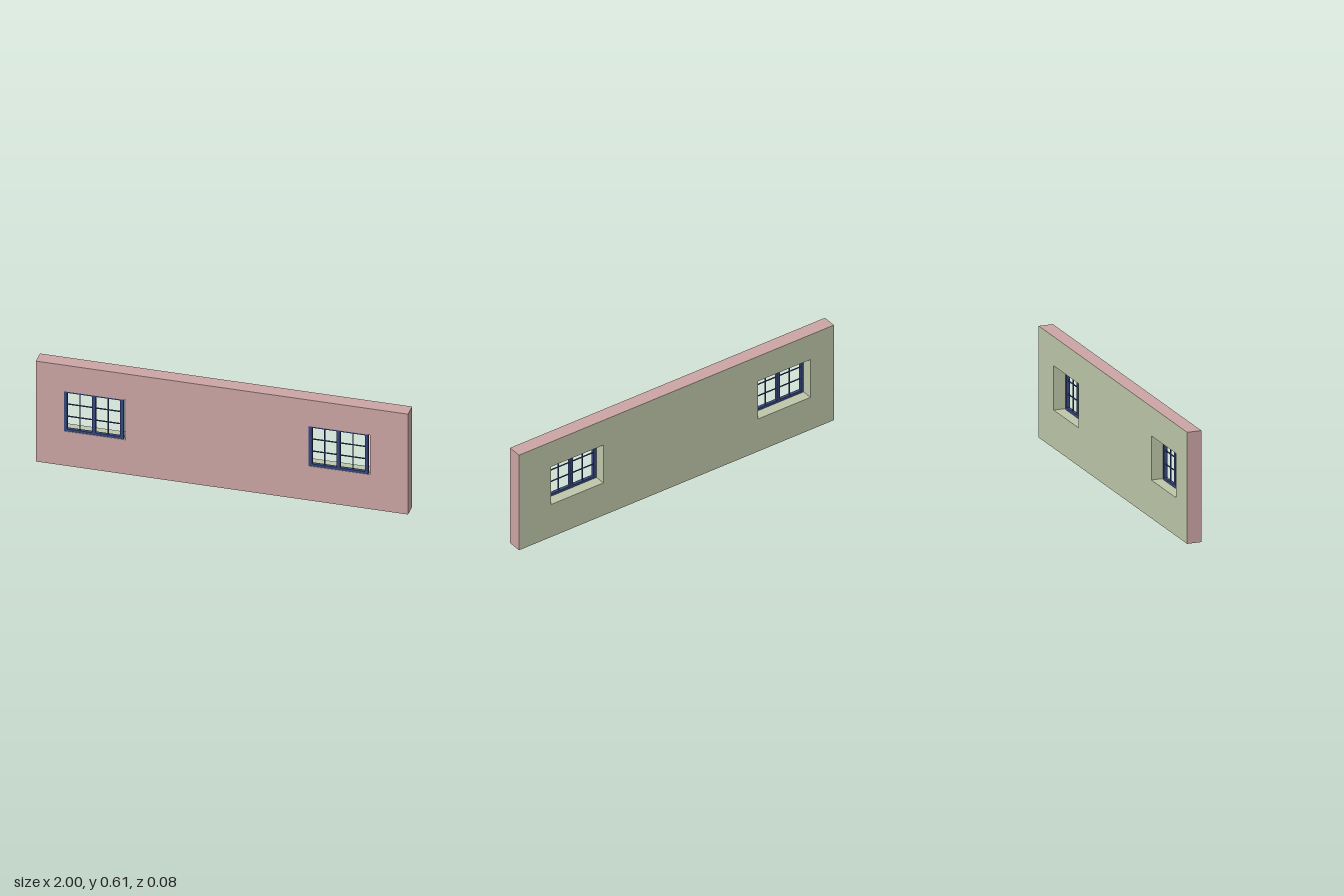
import * as THREE from 'three';

const W = 2, H = 0.605, D = 0.08;             // wall size
const OW = 0.332, Y0 = 0.207, Y1 = 0.447;     // window opening
const OH = Y1 - Y0, YC = (Y0 + Y1) / 2;

const paint = (name, color) => {
  const m = new THREE.MeshStandardMaterial({ color });
  m.name = name;
  return m;
};

export function createModel() {
  const pink = paint('pink wall', 0xcba5a4);
  const green = paint('sage green wall', 0xbdc6a9);
  const blue = paint('navy frame', 0x36477c);
  const root = new THREE.Group();
  root.name = 'wallWithWindows';

  const add = (parent, name, geometry, material, x = 0, y = 0, z = 0) => {
    const mesh = new THREE.Mesh(geometry, material);
    mesh.name = name;
    mesh.position.set(x, y, z);
    parent.add(mesh);
    return mesh;
  };
  // flat panel, turned about x and y
  const panel = (parent, name, w, h, mat, pos, rx, ry) => {
    add(parent, name, new THREE.PlaneGeometry(w, h), mat, ...pos).rotation.set(rx, ry, 0);
  };
  const bar = (parent, name, w, h, d, x, y, z) =>
    add(parent, name, new THREE.BoxGeometry(w, h, d), blue, x, y, z);

  const windows = [
    { side: 'right', x: -0.684, ceiling: pink },
    { side: 'left', x: 0.631, ceiling: green },
  ];
  const q = Math.PI / 2;

  // outer and inner wall faces with their openings
  const face = (name, mirror, mat, z) => {
    const shape = new THREE.Shape([[-1, 0], [1, 0], [1, H], [-1, H]].map(p => new THREE.Vector2(...p)));
    for (const { x } of windows) {
      const a = mirror * x - OW / 2, b = a + OW;
      shape.holes.push(new THREE.Path([[a, Y0], [a, Y1], [b, Y1], [b, Y0]].map(p => new THREE.Vector2(...p))));
    }
    add(root, name, new THREE.ShapeGeometry(shape), mat, 0, 0, z).rotation.y = mirror < 0 ? Math.PI : 0;
  };
  face('outerWallFace', 1, pink, D / 2);
  face('innerWallFace', -1, green, -D / 2);

  // wall edges
  panel(root, 'wallTop', W, D, pink, [0, H, 0], -q, 0);
  panel(root, 'wallBottom', W, D, green, [0, 0, 0], q, 0);
  panel(root, 'wallLeftEnd', D, H, pink, [1, H / 2, 0], 0, q);
  panel(root, 'wallRightEnd', D, H, pink, [-1, H / 2, 0], 0, -q);

  for (const { side, x, ceiling } of windows) {
    const win = new THREE.Group();
    win.name = side + 'Window';
    win.position.set(x, YC, 0);
    root.add(win);

    // reveal around the opening
    panel(win, 'sill', OW, D, green, [0, -OH / 2, 0], -q, 0);
    panel(win, 'revealCeiling', OW, D, ceiling, [0, OH / 2, 0], q, 0);
    panel(win, 'rightJamb', D, OH, green, [-OW / 2, 0, 0], 0, q);
    panel(win, 'leftJamb', D, OH, green, [OW / 2, 0, 0], 0, -q);

    // frame set close to the outer face
    const frame = new THREE.Group();
    frame.name = 'windowFrame';
    frame.position.set(-0.006, 0, 0.029);
    win.add(frame);
    const fw = 0.32, t = 0.018, d = 0.018;
    for (const s of [-1, 1]) bar(frame, 'frameStile', t, OH, d, s * (fw - t) / 2, 0, 0);
    bar(frame, 'mullion', 0.02, OH, d, 0, 0, 0);
    bar(frame, 'bottomRail', fw - 2 * t, 0.014, d, 0, -OH / 2 + 0.007, 0);
    bar(frame, 'topRail', fw - 2 * t, 0.008, d, 0, OH / 2 - 0.004, 0);

    // thin glazing bars, two columns and three rows in each sash
    for (const s of [-1, 1]) bar(frame, 'verticalGlazingBar', 0.005, OH - 0.01, 0.006, s * 0.076, 0, 0);
    for (const y of [0.04, -0.033]) bar(frame, 'horizontalGlazingBar', fw - 2 * t, 0.005, 0.005, 0, y, 0);
  }
  return root;
}
